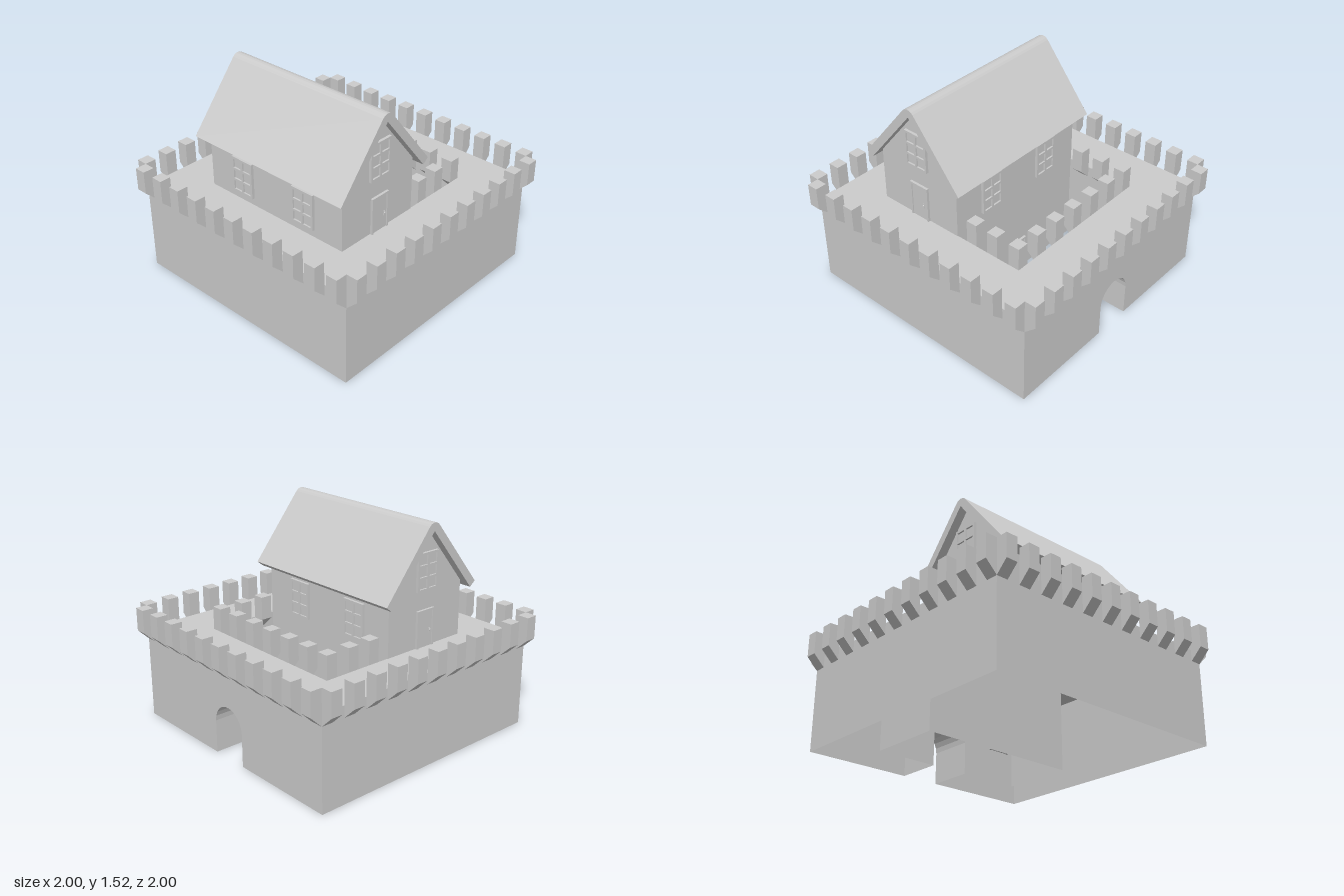
import * as THREE from 'three';

const mat = new THREE.MeshStandardMaterial({ color: 0xcccccc, flatShading: true, side: THREE.DoubleSide });
const H = 0.66, OUT = 0.917, IN = 0.59, HOUSE_BACK = -0.07, HOUSE_FRONT = 0.6, RIDGE_Z = 0.265;

function add(parent, name, geometry, x = 0, y = 0, z = 0, ry = 0) {
  const mesh = new THREE.Mesh(geometry, mat);
  mesh.name = name;
  mesh.position.set(x, y, z);
  mesh.rotation.y = ry;
  parent.add(mesh);
  return mesh;
}

function polygon(points) {
  return new THREE.Shape(points.map(([x, y]) => new THREE.Vector2(x, y)));
}

function rect(x0, y0, x1, y1) {
  return [[x0, y0], [x1, y0], [x1, y1], [x0, y1]];
}

function extrude(shape, depth) {
  return new THREE.ExtrudeGeometry(shape, { depth, bevelEnabled: false });
}

// Profile given as (z, y), swept along x and centred on x = 0
function sweepX(points, width) {
  return extrude(polygon(points), width).translate(0, 0, -width / 2).rotateY(-Math.PI / 2);
}

// Outline of the gateway, from left foot over the crown to right foot
function archPoints() {
  const r = 0.14, spring = 0.23, n = 12, pts = [[-r, 0]];
  for (let i = 0; i <= n; i++) {
    const a = Math.PI * (1 - i / n);
    pts.push([r * Math.cos(a), spring + r * Math.sin(a)]);
  }
  pts.push([r, 0]);
  return pts;
}

function archedWall(w) {
  return new THREE.ShapeGeometry(polygon([[-w, 0], ...archPoints(), [w, 0], [w, H], [-w, H]]));
}

function buildFort() {
  const g = new THREE.Group();
  g.name = 'fort';

  // Outer walls
  add(g, 'outerFrontWall', new THREE.PlaneGeometry(2 * OUT, H), 0, H / 2, OUT);
  add(g, 'outerBackWall', archedWall(OUT), 0, 0, -OUT, Math.PI);
  for (const s of [-1, 1])
    add(g, 'outerSideWall', new THREE.PlaneGeometry(2 * OUT, H), s * OUT, H / 2, 0, s * Math.PI / 2);

  // Walls around the open courtyard
  const len = HOUSE_BACK + IN;
  add(g, 'courtyardBackWall', archedWall(IN), 0, 0, -IN);
  add(g, 'courtyardFrontWall', new THREE.PlaneGeometry(2 * IN, H), 0, H / 2, HOUSE_BACK, Math.PI);
  for (const s of [-1, 1])
    add(g, 'courtyardSideWall', new THREE.PlaneGeometry(len, H), s * IN, H / 2, -IN + len / 2, -s * Math.PI / 2);

  // Walkway with the courtyard opening
  const deck = polygon(rect(-OUT, -OUT, OUT, OUT));
  deck.holes.push(polygon(rect(-IN, -HOUSE_BACK, IN, IN)));
  add(g, 'walkway', new THREE.ShapeGeometry(deck).rotateX(-Math.PI / 2), 0, H, 0);

  // Gateway tunnel
  const pts = archPoints();
  const tunnel = new THREE.PlaneGeometry(1, 1, pts.length - 1, 1);
  const pos = tunnel.attributes.position;
  for (let i = 0; i < pos.count; i++) {
    const [x, y] = pts[i % pts.length];
    pos.setXYZ(i, x, y, i < pts.length ? -OUT : -IN);
  }
  tunnel.computeVertexNormals();
  add(g, 'gatewayTunnel', tunnel);
  return g;
}

function buildBattlements() {
  const g = new THREE.Group();
  g.name = 'battlements';
  const w = 0.083;
  const merlon = extrude(polygon([[0, 0.58], [w, H], [w, 0.825], [0, 0.825]]), w).translate(0, 0, -w / 2);
  // Outer rows on all four sides
  for (let k = 0; k < 4; k++) {
    const a = k * Math.PI / 2;
    for (let i = -5; i <= 5; i++) {
      const t = i * 0.1752;
      add(g, 'outerMerlon', merlon, OUT * Math.cos(a) + t * Math.sin(a), 0, t * Math.cos(a) - OUT * Math.sin(a), a);
    }
  }
  // Courtyard rows
  for (let i = -3; i <= 3; i++)
    add(g, 'courtyardMerlon', merlon, i * 0.1828, 0, -IN, -Math.PI / 2);
  for (const z of [-0.367, -0.192]) {
    add(g, 'courtyardMerlon', merlon, -IN, 0, z, 0);
    add(g, 'courtyardMerlon', merlon, IN, 0, z, Math.PI);
  }
  return g;
}

// Six-pane window, facing +z, standing on its own origin
function buildWindow() {
  const g = new THREE.Group();
  g.name = 'window';
  const w = 0.186, h = 0.26, bar = 0.016;
  const pw = (w - 3 * bar) / 2, ph = (h - 4 * bar) / 3;
  const frame = polygon(rect(-w / 2, 0, w / 2, h));
  for (let i = 0; i < 2; i++)
    for (let j = 0; j < 3; j++) {
      const x = -w / 2 + bar + i * (pw + bar), y = bar + j * (ph + bar);
      frame.holes.push(polygon(rect(x, y, x + pw, y + ph)));
    }
  add(g, 'windowFrame', extrude(frame, 0.02));
  add(g, 'windowPanes', new THREE.BoxGeometry(w - bar, h - bar, 0.008), 0, h / 2, 0.004);
  return g;
}

// Door with frame and handle, facing +z, standing on its own origin
function buildDoor() {
  const g = new THREE.Group();
  g.name = 'door';
  const w = 0.078, h = 0.262, t = 0.014;
  add(g, 'doorFrame', extrude(polygon([[-w, 0], [-w + t, 0], [-w + t, h - t], [w - t, h - t],
    [w - t, 0], [w, 0], [w, h], [-w, h]]), 0.018));
  add(g, 'doorLeaf', new THREE.BoxGeometry(2 * (w - t), h - t, 0.01), 0, (h - t) / 2, 0.005);
  add(g, 'doorHandlePlate', new THREE.BoxGeometry(0.01, 0.034, 0.006), 0.04, 0.11, 0.012);
  add(g, 'doorKnob', new THREE.SphereGeometry(0.007, 10, 8), 0.04, 0.114, 0.018);
  return g;
}

function buildHouse() {
  const g = new THREE.Group();
  g.name = 'house';

  // Walls with gables
  add(g, 'houseWalls', sweepX([[HOUSE_BACK, H], [HOUSE_FRONT, H], [HOUSE_FRONT, 1.048],
    [RIDGE_Z, 1.46], [HOUSE_BACK, 1.048]], 2 * 0.594));

  // Roof with a rounded ridge
  const r = 0.057, a0 = 0.682, n = 6, ridge = [];
  for (let i = 0; i <= n; i++) {
    const a = Math.PI - a0 - i / n * (Math.PI - 2 * a0);
    ridge.push([RIDGE_Z + r * Math.cos(a), 1.46 + r * Math.sin(a)]);
  }
  add(g, 'roof', sweepX([[0.635, 1.005], [RIDGE_Z, 1.46], [-0.105, 1.005], [-0.149, 1.041],
    ...ridge, [0.679, 1.041]], 1.31));

  const place = (part, x, y, z, ry) => {
    part.position.set(x, y, z);
    part.rotation.y = ry;
    g.add(part);
  };
  // Windows on the long sides
  for (const x of [-0.28, 0.268]) {
    place(buildWindow(), x, 0.715, HOUSE_FRONT, 0);
    place(buildWindow(), x, 0.715, HOUSE_BACK, Math.PI);
  }
  // Window and door in each gable
  for (const s of [-1, 1]) {
    place(buildWindow(), s * 0.594, 1.054, RIDGE_Z, s * Math.PI / 2);
    place(buildDoor(), s * 0.594, H, 0.258, s * Math.PI / 2);
  }
  // Courtyard door at ground level
  place(buildDoor(), 0, 0, HOUSE_BACK, Math.PI);
  return g;
}

export function createModel() {
  const model = new THREE.Group();
  model.name = 'fortWithHouse';
  model.add(buildFort(), buildBattlements(), buildHouse());
  return model;
}
